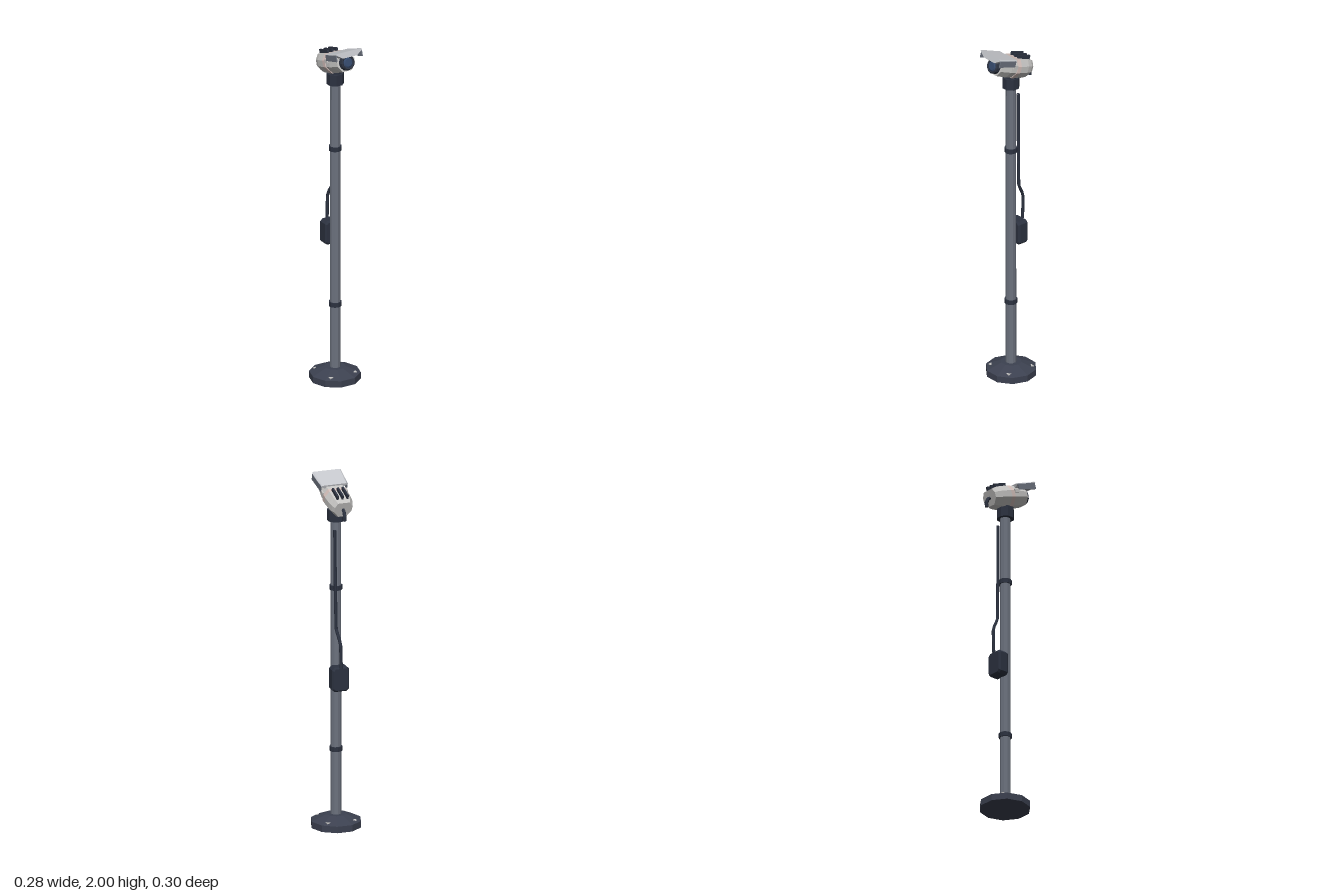
import * as THREE from 'three';

const mat = (name, color) => {
  const m = new THREE.MeshStandardMaterial({ color, flatShading: true });
  m.name = name;
  return m;
};

// Closed loft through convex rings of [x, y] points, counter-clockwise seen from +z
function loft(rings) {
  const pos = [];
  const tri = (...pts) => pts.forEach((p) => pos.push(...p));
  const loops = rings.map(({ z, pts }) => pts.map(([x, y]) => [x, y, z]));
  const n = loops[0].length;
  for (let s = 0; s < loops.length - 1; s++) {
    for (let i = 0; i < n; i++) {
      const j = (i + 1) % n;
      const [a, b, c, d] = [loops[s][i], loops[s][j], loops[s + 1][j], loops[s + 1][i]];
      tri(a, b, c);
      tri(a, c, d);
    }
  }
  const back = loops[0], front = loops[loops.length - 1];
  for (let i = 1; i < n - 1; i++) {
    tri(back[0], back[i + 1], back[i]);
    tri(front[0], front[i], front[i + 1]);
  }
  const g = new THREE.BufferGeometry();
  g.setAttribute('position', new THREE.Float32BufferAttribute(pos, 3));
  g.computeVertexNormals();
  return g;
}

// Eight-sided camera body section, narrower below
const bodyRing = ([z, w, h]) => ({
  z,
  pts: [[w, -0.25 * h], [w, 0.4 * h], [0.68 * w, h], [-0.68 * w, h],
    [-w, 0.4 * h], [-w, -0.25 * h], [-0.5 * w, -h], [0.5 * w, -h]],
});

// Rectangle with cut corners
const boxRing = (z, w, h, c) => ({
  z,
  pts: [[w, -h + c], [w, h - c], [w - c, h], [-w + c, h],
    [-w, h - c], [-w, -h + c], [-w + c, -h], [w - c, -h]],
});

export function createModel() {
  const shell = mat('light shell', 0xc6c5c3);
  const hoodGrey = mat('hood grey', 0xc6c8cd);
  const blush = mat('pale band', 0xd3bfba);
  const steel = mat('pole steel', 0x6c727e);
  const slate = mat('slate base', 0x3c4150);
  const dark = mat('dark fittings', 0x2c3240);
  const glass = mat('lens blue', 0x34486a);

  const model = new THREE.Group();
  model.name = 'polemountedCamera';
  const add = (parent, name, geo, m, x = 0, y = 0, z = 0) => {
    const mesh = new THREE.Mesh(geo, m);
    mesh.name = name;
    mesh.position.set(x, y, z);
    parent.add(mesh);
    return mesh;
  };
  const cyl = (rTop, rBottom, h, sides) => new THREE.CylinderGeometry(rTop, rBottom, h, sides);

  // Ten-sided foot with sloping top and four bolts
  add(model, 'baseRim', cyl(0.142, 0.142, 0.037, 10).rotateY(Math.PI / 2), slate, 0, 0.0185, -0.002);
  add(model, 'baseSlope', cyl(0.058, 0.142, 0.034, 10).rotateY(Math.PI / 2), slate, 0, 0.054, -0.002);
  for (const x of [-0.077, 0.077]) {
    for (const z of [-0.081, 0.077]) {
      add(model, 'baseBolt', new THREE.BoxGeometry(0.02, 0.014, 0.02), shell, x, 0.042, z);
    }
  }

  // Pole and its clamps
  add(model, 'pole', cyl(0.029, 0.03, 1.72, 10), steel, 0, 0.92, 0);
  for (const y of [0.445, 1.372]) add(model, 'poleClamp', cyl(0.036, 0.036, 0.026, 10), dark, 0, y, 0);
  add(model, 'topCollar', cyl(0.049, 0.049, 0.064, 8).rotateY(Math.PI / 8), dark, 0, 1.788, 0);
  add(model, 'neck', cyl(0.034, 0.038, 0.05, 8), dark, 0, 1.835, 0);

  // Junction box behind the pole
  add(model, 'junctionBox', loft([
    boxRing(-0.034, 0.042, 0.062, 0.012), boxRing(-0.024, 0.05, 0.07, 0.014),
    boxRing(0.024, 0.05, 0.07, 0.014), boxRing(0.034, 0.042, 0.062, 0.012),
  ]), dark, 0, 0.862, -0.05);

  // Cables made of straight runs
  const cable = (name, parent, pts, r) => {
    const path = new THREE.CurvePath();
    const v = pts.map((p) => new THREE.Vector3(...p));
    for (let i = 1; i < v.length; i++) path.add(new THREE.LineCurve3(v[i - 1], v[i]));
    add(parent, name, new THREE.TubeGeometry(path, 24, r, 6), dark);
    for (const [p, k] of [[v[0], 0], [v[v.length - 1], 1]]) {
      const end = add(parent, name + 'End', new THREE.CircleGeometry(r, 6), dark, p.x, p.y, p.z);
      const dir = path.getTangent(k).multiplyScalar(k ? 1 : -1);
      end.quaternion.setFromUnitVectors(new THREE.Vector3(0, 0, 1), dir);
    }
  };
  cable('poleCable', model, [[0.02, 1.71, -0.036], [0.018, 1.4, -0.038], [0.015, 1.14, -0.044],
    [0.004, 1.07, -0.084], [0, 0.925, -0.083]], 0.009);

  // Camera head, tilted upward
  const head = new THREE.Group();
  head.name = 'cameraHead';
  head.position.set(0, 1.883, 0);
  head.rotation.x = -0.3;
  model.add(head);

  add(head, 'rearBody', loft([[-0.118, 0.05, 0.044], [-0.1, 0.06, 0.051], [-0.07, 0.068, 0.055],
    [-0.014, 0.072, 0.057]].map(bodyRing)), shell);
  add(head, 'bodyBand', loft([[-0.014, 0.072, 0.057], [0.012, 0.072, 0.057]].map(bodyRing)), blush);
  add(head, 'frontBody', loft([[0.012, 0.068, 0.054], [0.05, 0.067, 0.053],
    [0.118, 0.056, 0.046]].map(bodyRing)), shell);

  // Lens barrel, rim and glass
  const facing = (g) => g.rotateX(Math.PI / 2);
  add(head, 'lensBarrel', facing(cyl(0.042, 0.046, 0.025, 12)), dark, 0, 0.003, 0.127);
  add(head, 'lensRim', new THREE.TorusGeometry(0.036, 0.006, 4, 12), dark, 0, 0.003, 0.139);
  add(head, 'lensGlass', facing(cyl(0.022, 0.03, 0.006, 12)), glass, 0, 0.003, 0.142);

  // Sun hood with side plates
  const hoodRing = (z, w, top, low) => ({
    z, pts: [[w, top - 0.007], [w - 0.008, top], [-w + 0.008, top], [-w, top - 0.007],
      [-0.045, low], [0.045, low]],
  });
  add(head, 'sunHood', loft([hoodRing(0.04, 0.078, 0.062, 0.036), hoodRing(0.171, 0.085, 0.069, 0.036)]), hoodGrey);
  for (const s of [-1, 1]) {
    const plate = add(head, 'hoodSidePlate', new THREE.BoxGeometry(0.006, 0.034, 0.122), steel, s * 0.079, 0.041, 0.104);
    plate.rotation.y = s * 0.05;
    add(head, 'hoodBracket', new THREE.BoxGeometry(0.008, 0.02, 0.03), shell, s * 0.071, 0.02, 0.03);
  }

  // Three raised vents
  for (const x of [-0.029, 0, 0.029]) {
    add(head, 'coolingVent', new THREE.BoxGeometry(0.011, 0.026, 0.086), dark, x, 0.062, -0.05);
  }

  // Drooping rear cable
  cable('rearCable', head, [[0, 0, -0.1], [0, -0.002, -0.13], [0, -0.025, -0.15], [0, -0.05, -0.156]], 0.01);

  return model;
}
